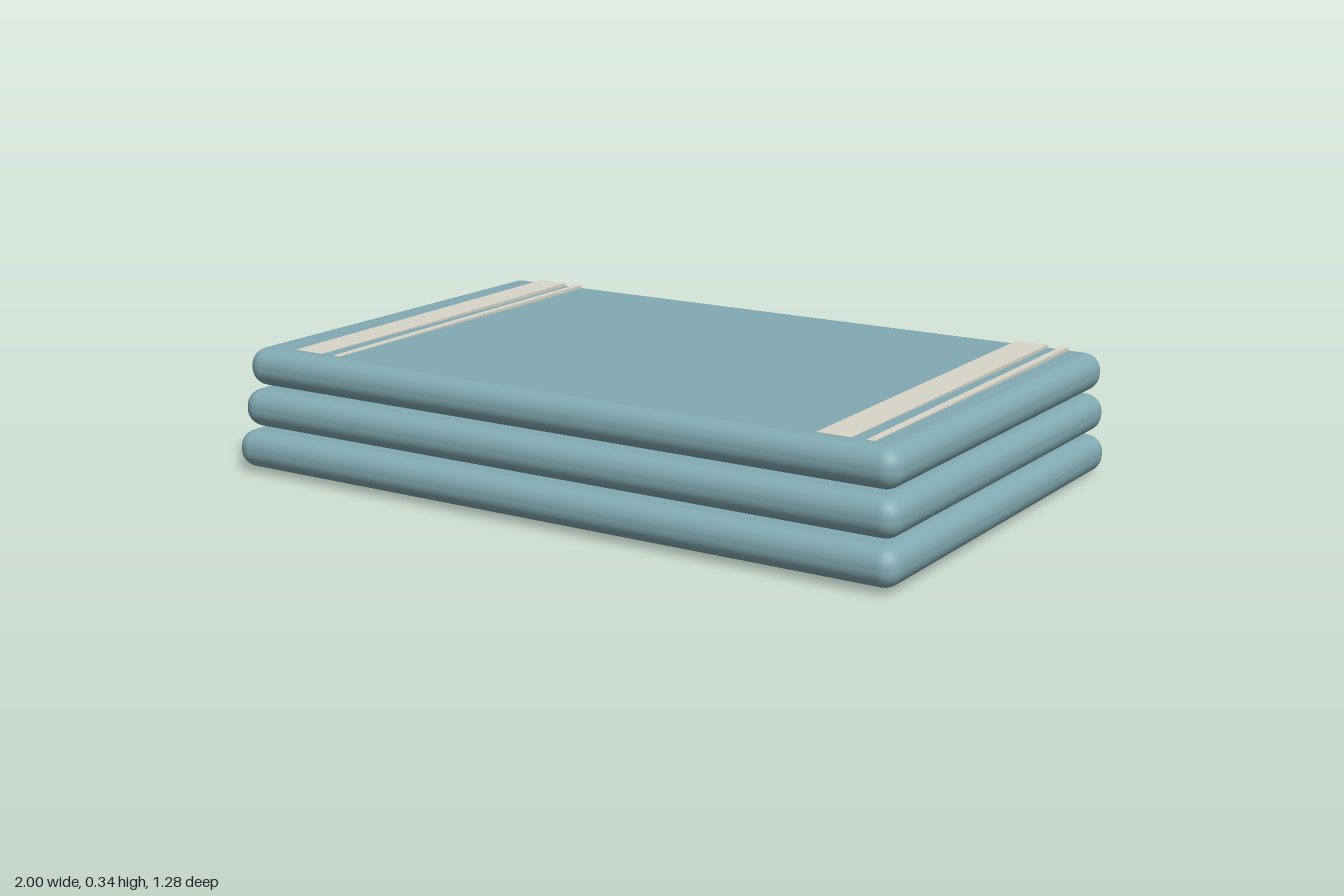
import * as THREE from 'three';
import { RoundedBoxGeometry } from 'three/addons/geometries/RoundedBoxGeometry.js';

export function createModel() {
  const group = new THREE.Group();
  group.name = 'towelStack';

  const cloth = new THREE.MeshStandardMaterial({ name: 'dustyTeal', color: 0x82aab3 });
  const trim = new THREE.MeshStandardMaterial({ name: 'cream', color: 0xd8d6c8 });

  // Three folded towels, each a little smaller and leaning slightly to the back
  const towels = [
    { x: 0, y: 0.06, width: 2.0, depth: 1.28 },
    { x: 0.008, y: 0.175, width: 1.976, depth: 1.262 },
    { x: 0.013, y: 0.289, width: 1.954, depth: 1.244 },
  ];
  towels.forEach(({ x, y, width, depth }, i) => {
    const towel = new THREE.Mesh(new RoundedBoxGeometry(width, 0.103, depth, 4, 0.048), cloth);
    towel.name = 'foldedTowel' + (i + 1);
    towel.position.set(x, y, 0);
    towel.rotation.x = -0.009;
    group.add(towel);
  });

  // A wide and a narrow woven stripe near each end of the top towel
  const addStripe = (name, x, width) => {
    const stripe = new THREE.Mesh(new THREE.BoxGeometry(width, 0.009, 1.13), trim);
    stripe.name = name;
    stripe.position.set(x, 0.342, -0.004);
    group.add(stripe);
  };
  for (const [side, x] of [['right', -0.79], ['left', 0.797]]) {
    addStripe(side + 'WideStripe', x, 0.092);
    addStripe(side + 'NarrowStripe', x + 0.095, 0.022);
  }
  return group;
}
